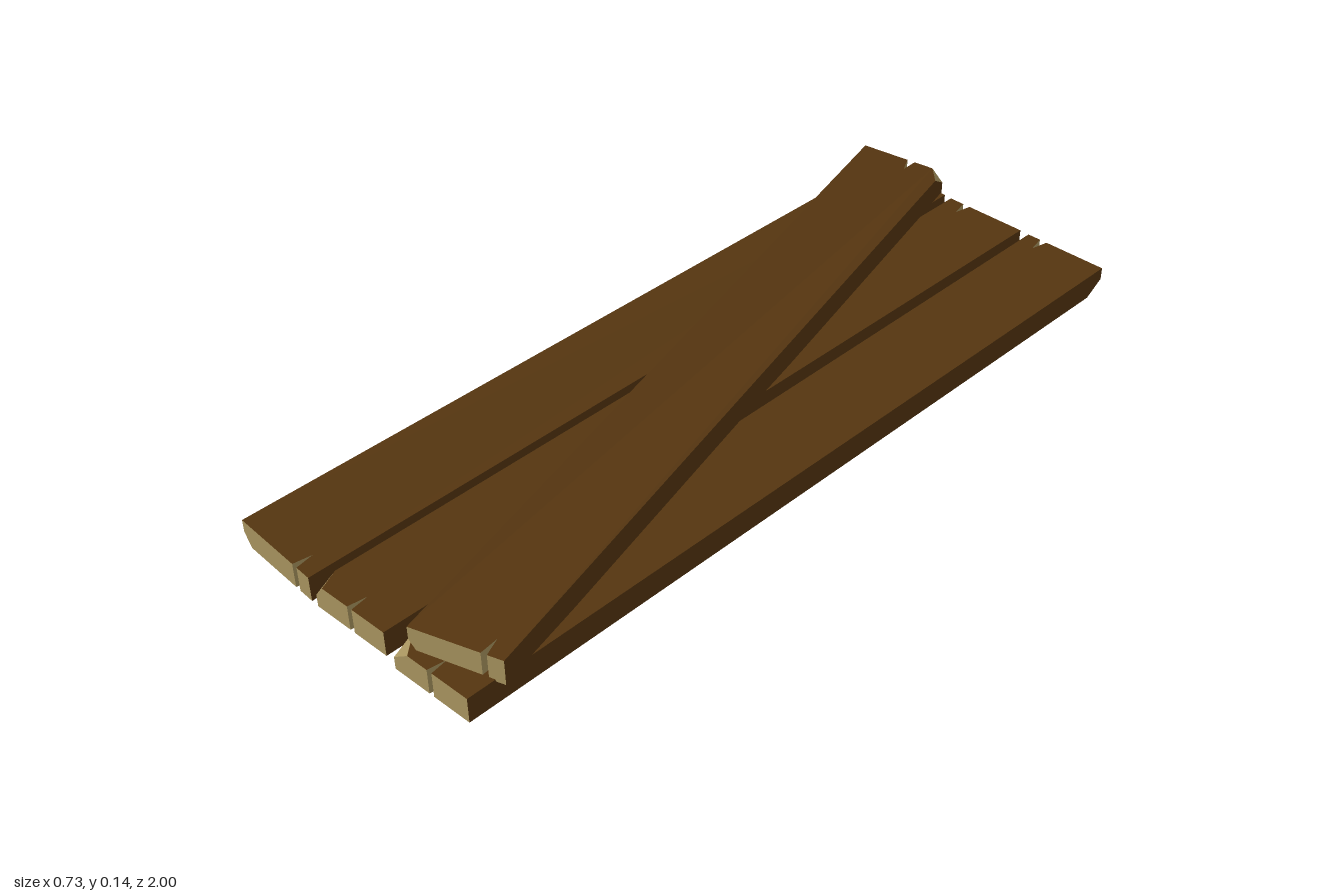
import * as THREE from 'three';

const LENGTH = 1.994, WIDTH = 0.22, THICK = 0.062;

// One sawn plank: notched ends, chipped corners, twisted between its end slopes.
// Chips: [side (-1 left, 1 right), end (1 front, -1 back), level (0 bottom, 2 top), width]
function plankGeometry({ notch, slope, height, chips }) {
  const hw = WIDTH / 2, hl = LENGTH / 2;
  const outline = []; // each entry holds its [x, z] at the bottom, middle and top level

  const corner = (side, end) => {
    const c = [side * hw, end * hl];
    const chip = chips.find(k => k[0] === side && k[1] === end);
    if (!chip) return outline.push([c, c, c]);
    const [, , level, size] = chip;
    const cuts = [[c[0], c[1] - end * 0.05], [c[0] - side * size, c[1]]];
    if (side * end > 0) cuts.reverse();
    for (const cut of cuts) {
      const entry = [c, c, c];
      entry[level] = cut;
      outline.push(entry);
    }
  };
  const cutNotch = (x, end, w) => {
    const pts = [[x - end * w, end * hl], [x, end * (hl - 0.045)], [x + end * w, end * hl]];
    for (const p of pts) outline.push([p, p, p]);
  };

  corner(-1, 1);
  cutNotch(notch[0], 1, 0.007);
  corner(1, 1);
  corner(1, -1);
  cutNotch(notch[1], -1, 0.01);
  corner(-1, -1);

  // Place a point, blending slope and height from back to front
  const place = (i, level) => {
    const [x, z] = outline[i][level];
    const t = (z + hl) / LENGTH;
    const y = THREE.MathUtils.lerp(height[1], height[0], t)
      + x * THREE.MathUtils.lerp(slope[1], slope[0], t) + (level - 1) * THICK / 2;
    return [x, y, z];
  };

  const faces = [[], []]; // wood, cut ends
  const tri = (m, a, b, c) => faces[m].push(...a, ...b, ...c);

  // Top and bottom
  for (const level of [0, 2]) {
    const flat = outline.map(e => new THREE.Vector2(e[level][0], -e[level][1]));
    for (const [a, b, c] of THREE.ShapeUtils.triangulateShape(flat, [])) {
      const order = level ? [a, b, c] : [a, c, b];
      tri(0, ...order.map(i => place(i, level)));
    }
  }
  // Long sides in wood, end faces, notches and chips in the cut colour
  outline.forEach((entry, i) => {
    const j = (i + 1) % outline.length;
    const m = entry[1][1] * outline[j][1][1] > 0 ? 1 : 0;
    for (const l of [0, 1]) {
      tri(m, place(i, l), place(j, l), place(j, l + 1));
      tri(m, place(i, l), place(j, l + 1), place(i, l + 1));
    }
  });

  const geo = new THREE.BufferGeometry();
  geo.setAttribute('position', new THREE.Float32BufferAttribute([...faces[0], ...faces[1]], 3));
  geo.addGroup(0, faces[0].length / 3, 0);
  geo.addGroup(faces[0].length / 3, faces[1].length / 3, 1);
  geo.computeVertexNormals();
  return geo;
}

export function createModel() {
  const wood = new THREE.MeshStandardMaterial({ color: 0x553510 });
  wood.name = 'brown wood';
  const cut = new THREE.MeshStandardMaterial({ color: 0xa8945f });
  cut.name = 'pale cut wood';

  const planks = [
    { name: 'rightPlank', x: -0.25, z: 0.003, turn: 0, notch: [0.065, 0], slope: [-0.075, -0.035],
      height: [0.042, 0.04], chips: [[-1, 1, 0, 0.02]] },
    { name: 'middlePlank', x: -0.01, z: 0.003, turn: 0, notch: [0.003, -0.06], slope: [0.075, 0.005],
      height: [0.041, 0.035], chips: [[-1, 1, 2, 0.025], [1, -1, 0, 0.025]] },
    { name: 'leftPlank', x: 0.235, z: 0.003, turn: 0, notch: [0, -0.065], slope: [0.075, 0.005],
      height: [0.041, 0.035], chips: [[-1, 1, 2, 0.045], [1, -1, 0, 0.025]] },
    { name: 'diagonalPlank', x: 0, z: -0.008, turn: 0.265, notch: [0.065, 0.02], slope: [0.08, -0.075],
      height: [0.099, 0.104], chips: [[-1, 1, 0, 0.02], [1, -1, 2, 0.03]] },
  ];

  const group = new THREE.Group();
  group.name = 'plankPile';
  for (const p of planks) {
    const mesh = new THREE.Mesh(plankGeometry(p), [wood, cut]);
    mesh.name = p.name;
    mesh.position.set(p.x, 0, p.z);
    mesh.rotation.y = p.turn;
    group.add(mesh);
  }
  return group;
}
